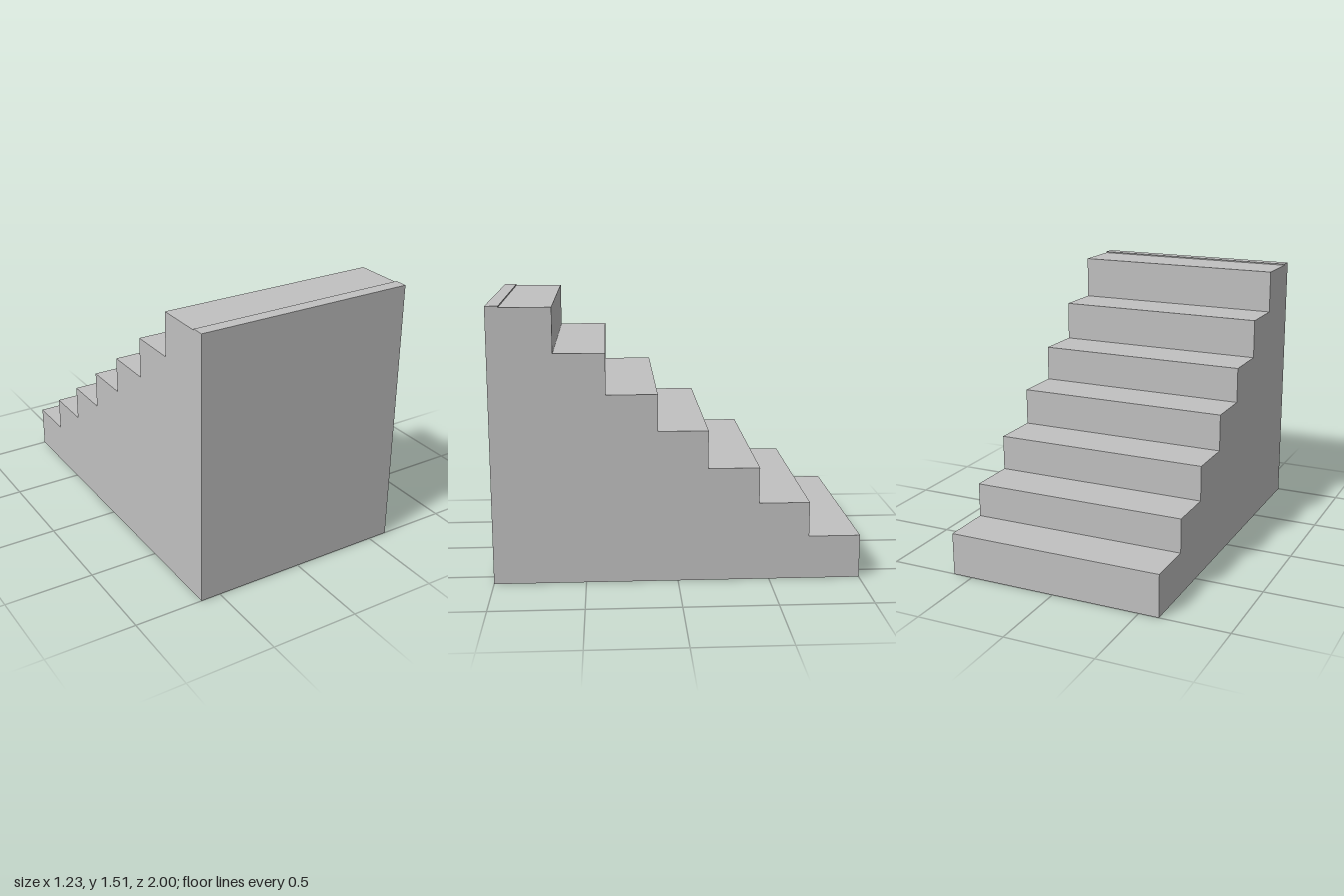
import * as THREE from 'three';

export function createModel() {
  const model = new THREE.Group();
  model.name = 'staircase';
  const stone = new THREE.MeshStandardMaterial({ color: 0xc0c0c0 });
  stone.name = 'light grey stone';

  // Each step: [z where it starts, tread height], rising from back to front
  const steps = [
    [-1, 0.24], [-0.718, 0.432], [-0.442, 0.63], [-0.163, 0.838],
    [0.108, 1.038], [0.383, 1.26], [0.657, 1.502], [0.93, 1.509],
  ];
  const width = 1.226;

  // Side profile drawn in z and y
  const profile = new THREE.Shape();
  profile.moveTo(-1, 0);
  steps.forEach(([z, y], i) => {
    const end = i + 1 < steps.length ? steps[i + 1][0] : 1;
    profile.lineTo(z, y);
    profile.lineTo(end, y);
  });
  profile.lineTo(1, 0);
  profile.closePath();

  // Solid flight of steps, extruded across the width
  const geometry = new THREE.ExtrudeGeometry(profile, { depth: width, bevelEnabled: false });
  geometry.translate(0, 0, -width / 2);
  geometry.rotateY(-Math.PI / 2);
  const flight = new THREE.Mesh(geometry, stone);
  flight.name = 'steps';
  model.add(flight);
  return model;
}
